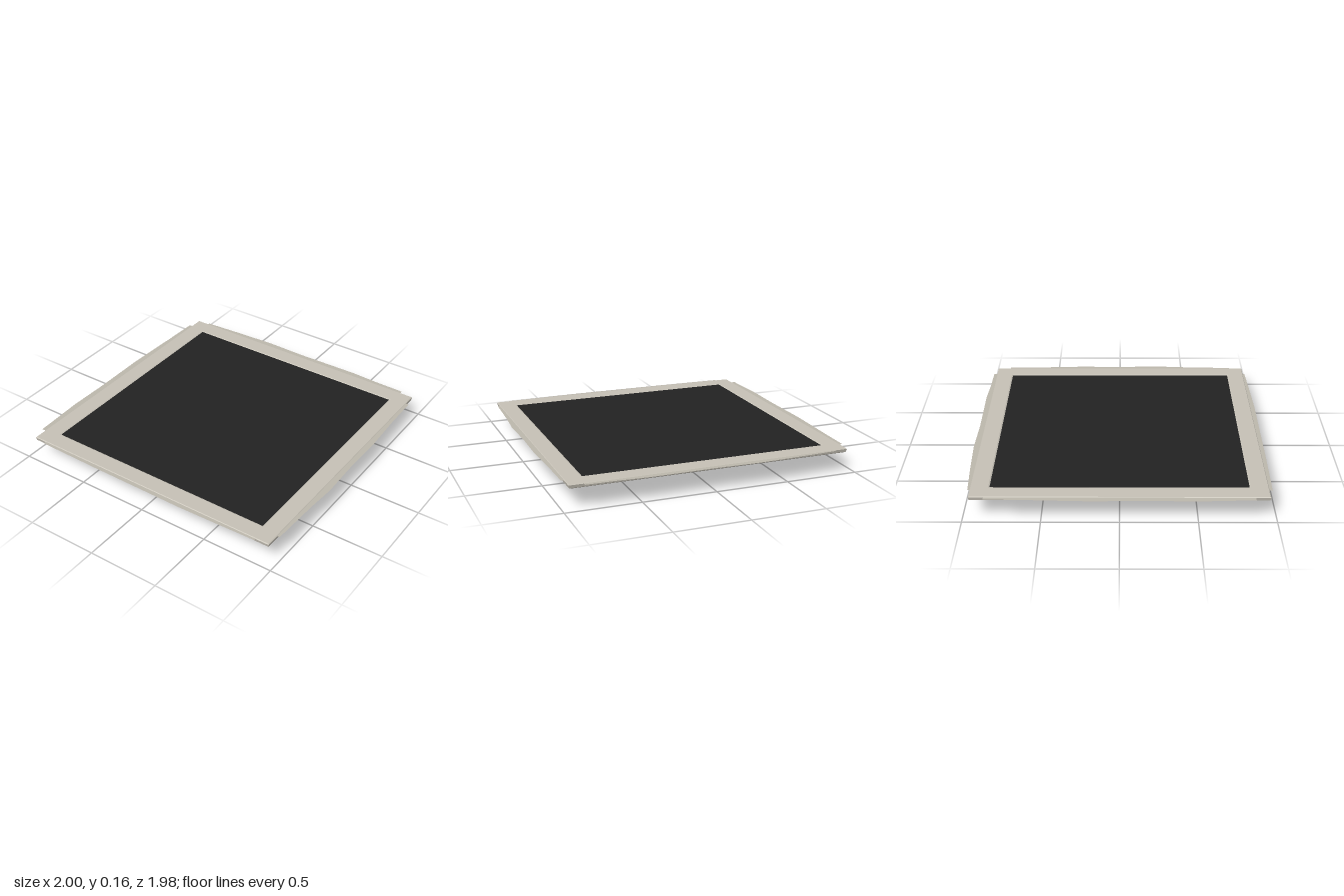
import * as THREE from 'three';

const frameMat = new THREE.MeshStandardMaterial({ color: 0xc6c1b6 });
frameMat.name = 'warm grey enamel';
const sealMat = new THREE.MeshStandardMaterial({ color: 0xbdb8ad, side: THREE.DoubleSide });
sealMat.name = 'dusty sealant';
const darkMat = new THREE.MeshStandardMaterial({ color: 0x222222 });
darkMat.name = 'dark duct';
const screwMat = new THREE.MeshStandardMaterial({ color: 0x8a8780 });
screwMat.name = 'screw metal';

// Sweeps a [half width, height] profile round a square; the profile runs counter-clockwise
function squareSweep(name, profile, material) {
  const pts = profile.map(([r, y]) => new THREE.Vector2(r * Math.SQRT2, y));
  const geo = new THREE.LatheGeometry(pts, 4).rotateY(Math.PI / 4).toNonIndexed();
  geo.computeVertexNormals();
  const mesh = new THREE.Mesh(geo, material);
  mesh.name = name;
  return mesh;
}

// Sloping blade: wide at the top, with a small flat lip turned in at the bottom
function blade(i, rTop, yTop, rLow, yLow) {
  const t = 0.006;
  return squareSweep('louver' + i, [
    [rLow - 0.012, yLow], [rLow, yLow], [rTop, yTop],
    [rTop - 0.01, yTop + 0.002], [rLow - 0.004, yLow + t], [rLow - 0.012, yLow + t], [rLow - 0.012, yLow],
  ], frameMat);
}

// Thin uneven strip along one side: [along, outward] points, turned into place
function sealStrip(name, edge, angle) {
  const shape = new THREE.Shape();
  shape.moveTo(edge[0][0], 0.94);
  edge.forEach(([a, out]) => shape.lineTo(a, out));
  shape.lineTo(edge[edge.length - 1][0], 0.94);
  const geo = new THREE.ShapeGeometry(shape).rotateX(-Math.PI / 2).rotateY(angle);
  const mesh = new THREE.Mesh(geo, sealMat);
  mesh.position.y = 0.156;
  mesh.name = name;
  return mesh;
}

export function createModel() {
  const group = new THREE.Group();
  group.name = 'ceilingDiffuser';

  // Outer frame with eased edges and a shallow bead underneath
  group.add(squareSweep('frame', [
    [0.835, 0.13], [0.84, 0.127], [0.89, 0.127], [0.895, 0.13], [0.945, 0.13], [0.952, 0.135],
    [0.956, 0.155], [0.951, 0.16], [0.84, 0.16], [0.832, 0.156], [0.835, 0.13],
  ], frameMat));

  // Inner collar that carries the louvers
  group.add(squareSweep('collar', [
    [0.79, 0.134], [0.815, 0.13], [0.815, 0.15], [0.79, 0.15], [0.79, 0.134],
  ], frameMat));

  // Backing plate
  const plate = new THREE.Mesh(new THREE.BoxGeometry(1.664, 0.007, 1.664), darkMat);
  plate.position.y = 0.1535;
  plate.name = 'backPlate';
  group.add(plate);

  // Nested louvers, stepping down towards the middle
  [
    [0.8, 0.147, 0.67, 0.092],
    [0.63, 0.135, 0.49, 0.072],
    [0.45, 0.121, 0.32, 0.053],
    [0.285, 0.107, 0.148, 0.034],
  ].forEach((b, i) => group.add(blade(i + 1, ...b)));

  // Centre plate with a softened lower edge
  group.add(squareSweep('centrePlate', [
    [0, 0.011], [0.105, 0.011], [0.112, 0.015], [0.114, 0.032], [0.108, 0.036], [0, 0.036],
  ], frameMat));

  const screw = new THREE.Mesh(new THREE.CylinderGeometry(0.013, 0.01, 0.012, 16), screwMat);
  screw.position.y = 0.006;
  screw.name = 'centreScrew';
  group.add(screw);

  // Uneven sealant showing beyond the four sides
  group.add(
    sealStrip('backSeal', [[-0.865, 0.97], [-0.6, 0.985], [-0.3, 0.998], [0, 0.99], [0.45, 0.995], [0.65, 0.984], [0.86, 0.98]], 0),
    sealStrip('leftSeal', [[-0.86, 0.975], [-0.6, 0.98], [-0.3, 0.994], [0, 0.99], [0.3, 0.999], [0.5, 0.985], [0.86, 0.972]], -Math.PI / 2),
    sealStrip('frontSeal', [[-0.86, 0.97], [-0.6, 0.978], [-0.3, 0.986], [0, 0.984], [0.4, 0.982], [0.865, 0.975]], Math.PI),
    sealStrip('rightSeal', [[-0.86, 0.984], [-0.5, 0.999], [-0.2, 0.994], [0.2, 0.999], [0.6, 0.985], [0.86, 0.978]], Math.PI / 2),
  );
  return group;
}
